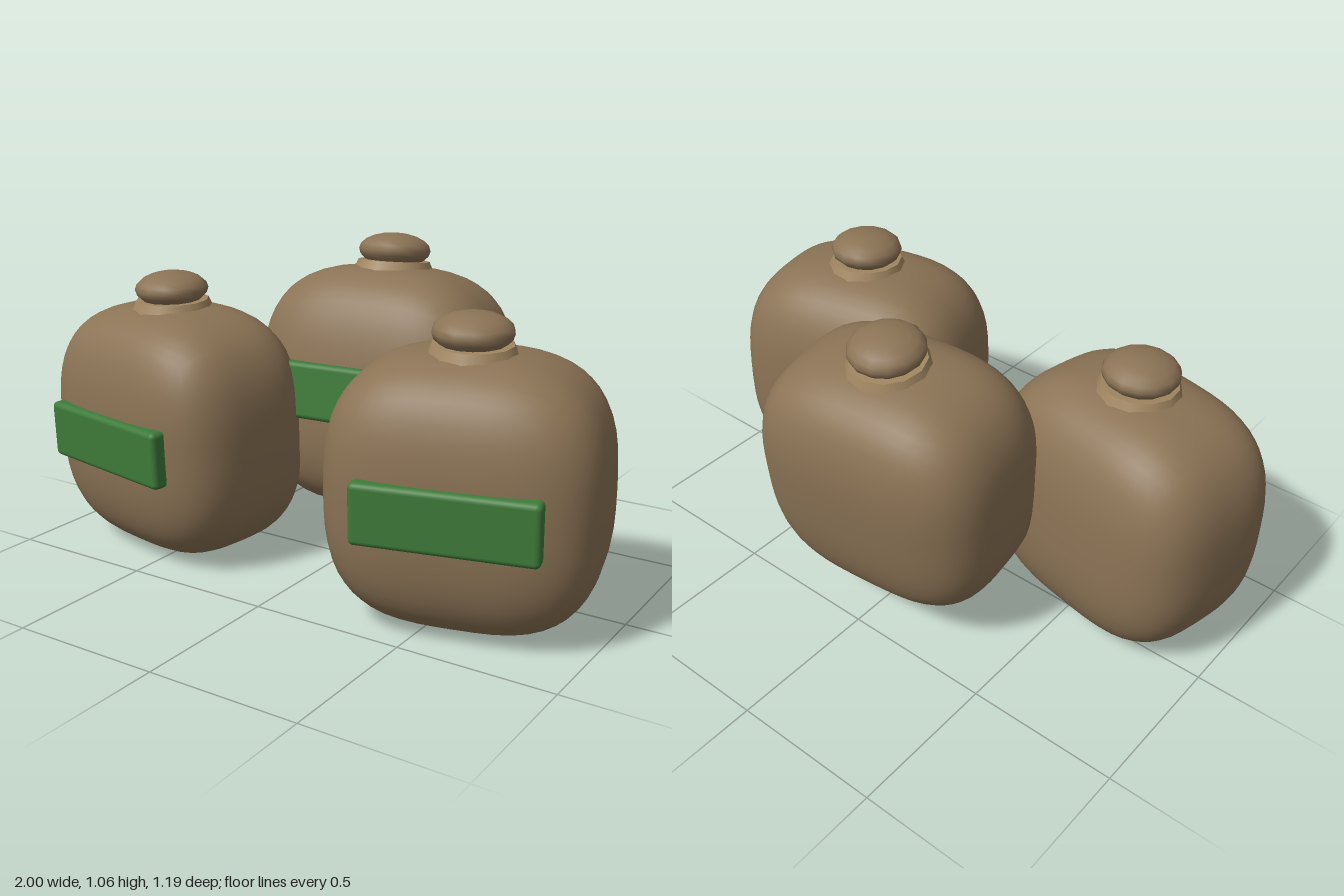
import * as THREE from 'three';
import { mergeVertices } from 'three/addons/utils/BufferGeometryUtils.js';
import { RoundedBoxGeometry } from 'three/addons/geometries/RoundedBoxGeometry.js';

const cloth = new THREE.MeshStandardMaterial({ color: 0x8b7355 });
const rope = new THREE.MeshStandardMaterial({ color: 0xa08560 });
const green = new THREE.MeshStandardMaterial({ color: 0x3e7b3a });

// Plump sack: a subdivided cube pushed out onto a superellipsoid
function sackGeometry(halfW, halfH, halfD) {
  const box = new THREE.BoxGeometry(2, 2, 2, 14, 14, 14);
  box.deleteAttribute('uv');
  box.deleteAttribute('normal');
  const geo = mergeVertices(box);
  const pos = geo.attributes.position;
  const v = new THREE.Vector3();
  const plan = 3.3, rise = 2.9;
  for (let i = 0; i < pos.count; i++) {
    v.fromBufferAttribute(pos, i);
    const ring = Math.pow(Math.abs(v.x) ** plan + Math.abs(v.z) ** plan, rise / plan);
    v.divideScalar(Math.pow(ring + Math.abs(v.y) ** rise, 1 / rise));
    pos.setXYZ(i, v.x * halfW, v.y * halfH, v.z * halfD);
  }
  geo.computeVertexNormals();
  return geo;
}

function addPart(group, name, geometry, material, y = 0, z = 0) {
  const mesh = new THREE.Mesh(geometry, material);
  mesh.name = name;
  mesh.position.set(0, y, z);
  group.add(mesh);
  return mesh;
}

function makeSack(name) {
  const sack = new THREE.Group();
  sack.name = name;
  addPart(sack, 'sackBody', sackGeometry(0.42, 0.418, 0.308), cloth);
  // Flared tie around the neck
  addPart(sack, 'neckTie', new THREE.CylinderGeometry(0.122, 0.142, 0.045, 12), rope, 0.412);
  // Gathered knot on top
  const knot = addPart(sack, 'topKnot', new THREE.SphereGeometry(0.122, 14, 10), cloth, 0.47);
  knot.scale.y = 0.48;
  // Label on the front face
  addPart(sack, 'frontLabel', new RoundedBoxGeometry(0.55, 0.19, 0.06, 3, 0.018), green, 0.002, 0.3);
  return sack;
}

export function createModel() {
  const model = new THREE.Group();
  model.name = 'sackPile';
  // name, position, tilt, yaw
  const sacks = [
    ['rightSack', [-0.572, 0.418, 0.17], 0.03, -0.19],
    ['leftSack', [0.568, 0.418, 0.2], 0.03, 0.24],
    ['backSack', [-0.01, 0.53, -0.275], -0.115, 0.09],
  ];
  for (const [name, position, tilt, yaw] of sacks) {
    const sack = makeSack(name);
    sack.position.set(...position);
    sack.rotation.set(tilt, yaw, 0, 'YXZ');
    model.add(sack);
  }
  return model;
}
